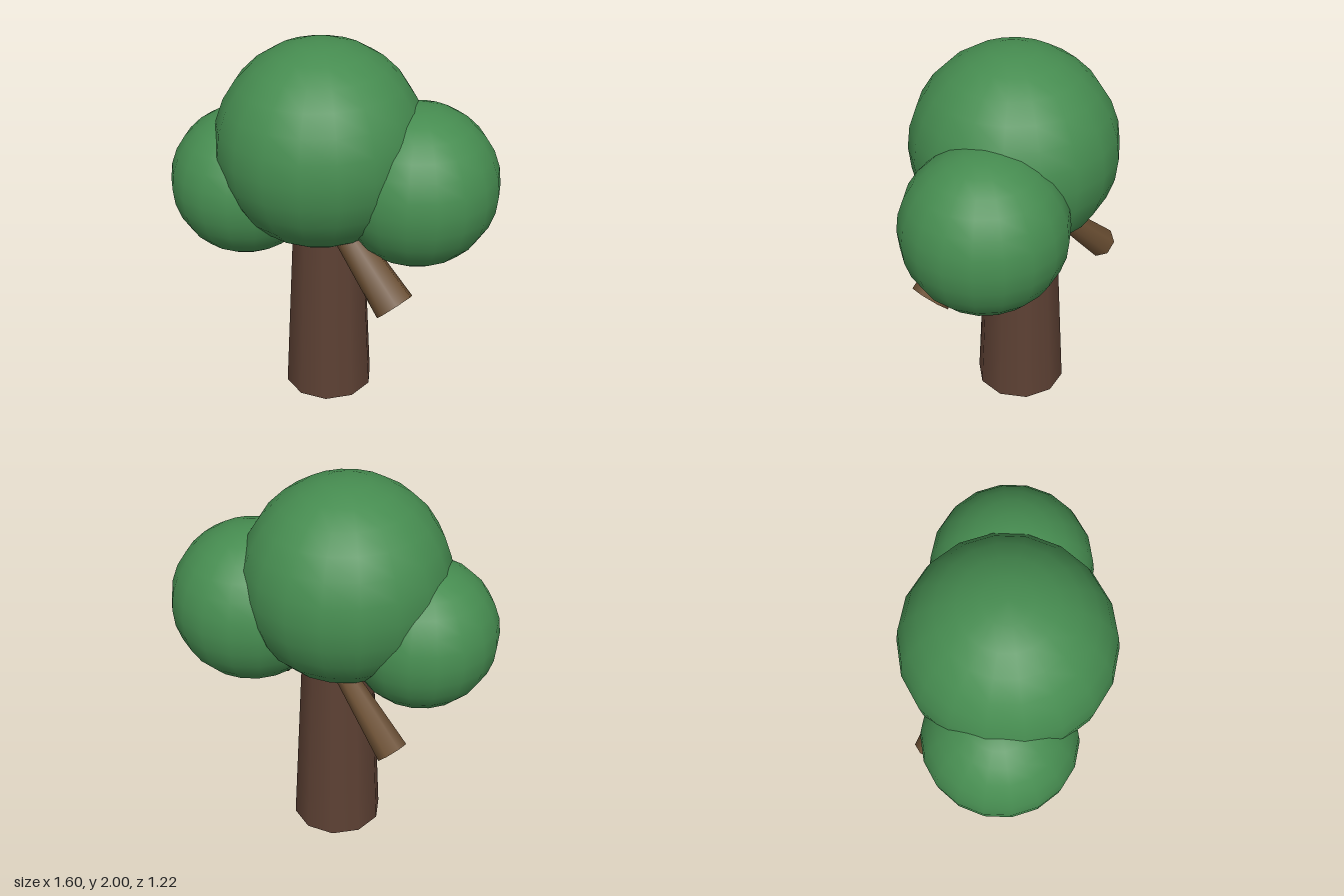
import * as THREE from 'three';

const paint = (color) => new THREE.MeshStandardMaterial({ color });

export function createModel() {
  const tree = new THREE.Group();
  tree.name = 'tree';
  const bark = paint(0x5c4033);
  const branchWood = paint(0x6b4f33);
  const leaves = paint(0x468c50);

  function add(name, geometry, material, position) {
    const mesh = new THREE.Mesh(geometry, material);
    mesh.name = name;
    mesh.position.set(...position);
    tree.add(mesh);
    return mesh;
  }

  // Tapered trunk, its top hidden in the crown
  const trunkHeight = 1.07;
  add('trunk', new THREE.CylinderGeometry(0.187, 0.24, trunkHeight, 10), bark,
    [-0.048, trunkHeight / 2, -0.013]);

  // Branches: wide cut end outside and below, thin end inside the crown
  function addBranch(name, end, tilt, length, thinRadius, wideRadius) {
    const axis = new THREE.Vector3(-Math.sin(tilt), Math.cos(tilt), 0);
    const centre = new THREE.Vector3(...end).addScaledVector(axis, length / 2);
    const branch = add(name, new THREE.CylinderGeometry(thinRadius, wideRadius, length, 7),
      branchWood, centre.toArray());
    branch.rotation.z = tilt;
  }
  addBranch('leftBranch', [0.49, 0.735, 0.105], Math.PI / 4, 0.5, 0.075, 0.109);
  addBranch('rightBranch', [-0.54, 0.72, -0.145], -Math.PI / 4, 0.45, 0.055, 0.084);

  // Three overlapping balls of foliage
  const crown = [
    ['mainFoliage', [-0.052, 1.465, 0.043], [0.533, 0.535, 0.541]],
    ['leftFoliage', [0.38, 1.277, -0.2], [0.42, 0.422, 0.422]],
    ['rightFoliage', [-0.412, 1.215, 0.22], [0.388, 0.39, 0.394]],
  ];
  for (const [name, position, radii] of crown) {
    add(name, new THREE.SphereGeometry(1, 18, 14), leaves, position).scale.set(...radii);
  }
  return tree;
}
